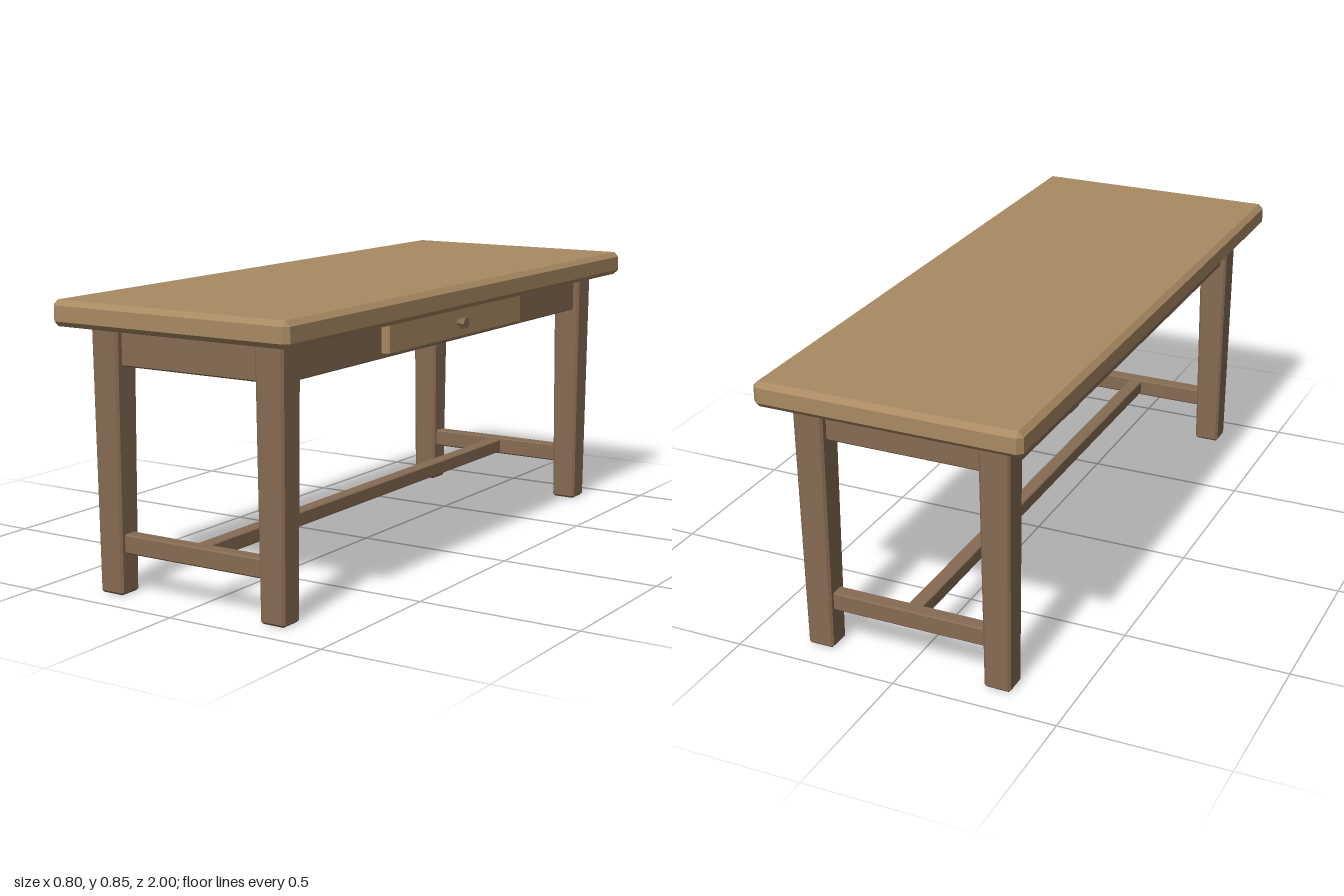
import * as THREE from 'three';
import { ConvexGeometry } from 'three/addons/geometries/ConvexGeometry.js';

const paleWood = new THREE.MeshStandardMaterial({ color: 0xa98a62 });
paleWood.name = 'pale wood';
const darkWood = new THREE.MeshStandardMaterial({ color: 0x866b53 });
darkWood.name = 'dark wood';

// Box with 45 degree chamfers; taper is the width factor at the bottom
function chamferedBox(w, h, d, c, taper = 1) {
  const points = [];
  for (const sx of [-1, 1]) for (const sy of [-1, 1]) for (const sz of [-1, 1]) {
    const k = sy < 0 ? taper : 1;
    const x = w / 2 * k, y = h / 2, z = d / 2 * k;
    points.push(
      new THREE.Vector3(sx * x, sy * (y - c), sz * (z - c)),
      new THREE.Vector3(sx * (x - c), sy * y, sz * (z - c)),
      new THREE.Vector3(sx * (x - c), sy * (y - c), sz * z),
    );
  }
  return new ConvexGeometry(points);
}

export function createModel() {
  const table = new THREE.Group();
  table.name = 'table';

  function add(name, geometry, material, x, y, z) {
    const mesh = new THREE.Mesh(geometry, material);
    mesh.name = name;
    mesh.position.set(x, y, z);
    table.add(mesh);
    return mesh;
  }

  const legX = 0.281, legZ = 0.874;

  add('tableTop', chamferedBox(0.8, 0.075, 2, 0.015), paleWood, 0, 0.8125, 0);

  // Tapered legs
  const legGeometry = chamferedBox(0.093, 0.785, 0.088, 0.007, 0.87);
  for (const sx of [-1, 1]) for (const sz of [-1, 1]) {
    add('leg', legGeometry, darkWood, sx * legX, 0.3925, sz * legZ);
  }

  // Apron rails and end stretchers between the legs
  const sideApron = chamferedBox(0.042, 0.12, 1.72, 0.004);
  const endApron = chamferedBox(0.52, 0.12, 0.042, 0.004);
  const endStretcher = chamferedBox(0.52, 0.056, 0.045, 0.004);
  for (const s of [-1, 1]) {
    add('sideApron', sideApron, darkWood, s * 0.286, 0.722, 0);
    add('endApron', endApron, darkWood, 0, 0.722, s * legZ);
    add('endStretcher', endStretcher, darkWood, 0, 0.15, s * legZ);
  }
  add('longStretcher', chamferedBox(0.045, 0.044, 1.73, 0.003), darkWood, 0, 0.151, 0);

  // Drawer on the left side, with a six-sided knob
  add('drawerFront', chamferedBox(0.035, 0.095, 0.8, 0.005), paleWood, 0.315, 0.722, 0);
  const knob = new THREE.LatheGeometry([
    new THREE.Vector2(0.012, 0),
    new THREE.Vector2(0.012, 0.012),
    new THREE.Vector2(0.018, 0.014),
    new THREE.Vector2(0.018, 0.03),
    new THREE.Vector2(0, 0.03),
  ], 6).toNonIndexed();
  knob.computeVertexNormals();
  add('drawerKnob', knob, darkWood, 0.33, 0.721, 0).rotation.z = -Math.PI / 2;

  return table;
}
